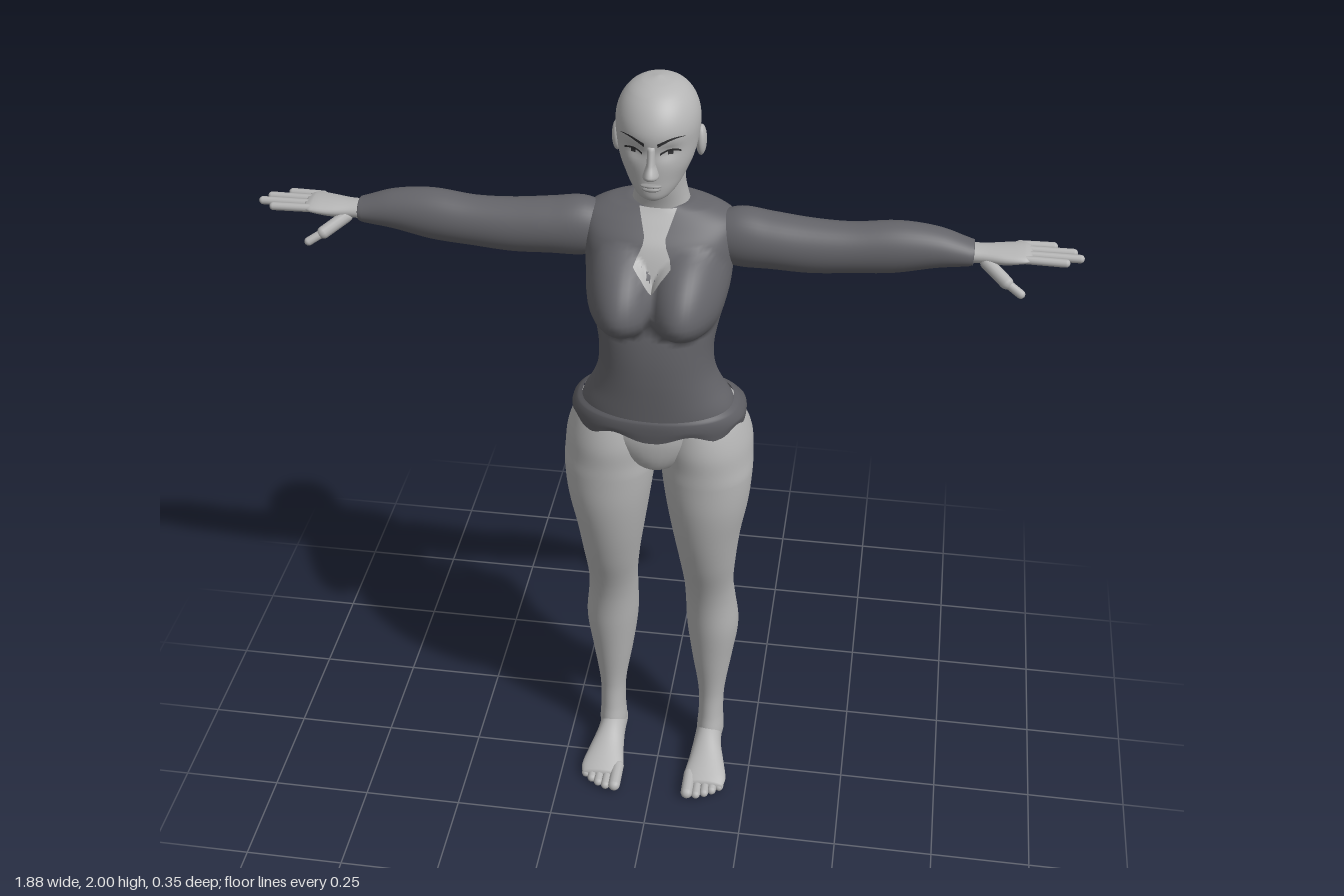
import * as THREE from 'three';

const mat = (name, color, side = THREE.FrontSide) => {
  const m = new THREE.MeshStandardMaterial({ color, side });
  m.name = name;
  return m;
};

// Smoothly interpolated cross-section at t; sections are [t, a, b, radiusA, radiusB]
function sectionAt(s, t) {
  let i = 0;
  while (i < s.length - 2 && t > s[i + 1][0]) i++;
  const h = s[i + 1][0] - s[i][0], u = (t - s[i][0]) / h;
  const slope = (j, k) => {
    const p = s[Math.max(j - 1, 0)], q = s[Math.min(j + 1, s.length - 1)];
    return (q[k] - p[k]) / (q[0] - p[0]);
  };
  return [1, 2, 3, 4].map((k) => {
    const v = s[i][k] * (2 * u ** 3 - 3 * u * u + 1) + s[i + 1][k] * (3 * u * u - 2 * u ** 3)
      + h * (slope(i, k) * (u ** 3 - 2 * u * u + u) + slope(i + 1, k) * (u ** 3 - u * u));
    return k > 2 ? Math.max(v, 0.001) : v;
  });
}

// Skin a closed body through cross-sections along an axis.
// Order of (a, t, b): y -> (x, y, z), x -> (z, x, y), z -> (y, z, x)
function loft(axis, s, { seg = 40, steps = 5, n = 2, cap = true, warp = null } = {}) {
  const pos = [], idx = [], rows = [];
  for (let i = 0; i < s.length - 1; i++)
    for (let k = 0; k < steps; k++) rows.push(s[i][0] + (s[i + 1][0] - s[i][0]) * k / steps);
  rows.push(s[s.length - 1][0]);
  const put = (a, t, b, th) => {
    const p = axis === 'y' ? [a, t, b] : axis === 'x' ? [t, b, a] : [b, a, t];
    if (warp) warp(p, th);
    pos.push(...p);
  };
  const pw = (v) => Math.sign(v) * Math.abs(v) ** (2 / n);
  rows.forEach((t) => {
    const [a, b, ra, rb] = sectionAt(s, t);
    for (let i = 0; i < seg; i++) {
      const th = i / seg * Math.PI * 2;
      put(a + ra * pw(Math.sin(th)), t, b + rb * pw(Math.cos(th)), th);
    }
  });
  for (let j = 0; j < rows.length - 1; j++)
    for (let i = 0; i < seg; i++) {
      const A = j * seg + i, B = j * seg + (i + 1) % seg;
      idx.push(A, B, B + seg, A, B + seg, A + seg);
    }
  if (cap) {
    const last = (rows.length - 1) * seg, c = pos.length / 3;
    [s[0], s[s.length - 1]].forEach((e) => put(e[1], e[0], e[2], Math.PI));
    for (let i = 0; i < seg; i++) {
      const k = (i + 1) % seg;
      idx.push(c, k, i, c + 1, last + i, last + k);
    }
  }
  return finish(pos, idx);
}

function finish(pos, idx) {
  const g = new THREE.BufferGeometry();
  g.setAttribute('position', new THREE.Float32BufferAttribute(pos, 3));
  g.setIndex(idx);
  g.computeVertexNormals();
  return g;
}

// Thin patch laid over a front surface; f(u, v) gives [x, y]
function patch(zAt, f, lift, nu = 12, nv = 8) {
  const pos = [], idx = [];
  for (let j = 0; j <= nv; j++)
    for (let i = 0; i <= nu; i++) {
      const [x, y] = f(i / nu, j / nv);
      pos.push(x, y, zAt(x, y) + lift);
      if (i < nu && j < nv) {
        const A = j * (nu + 1) + i, C = A + nu + 1;
        idx.push(A, A + 1, C + 1, A, C + 1, C);
      }
    }
  return finish(pos, idx);
}

const frontOf = (s, n = 2) => (x, y) => {
  const [a, b, ra, rb] = sectionAt(s, y);
  return b + rb * Math.max(0, 1 - Math.abs((x - a) / ra) ** n) ** (1 / n);
};

// Rounded rod between two points
function rod(p, q, r) {
  const a = new THREE.Vector3(...p), b = new THREE.Vector3(...q), d = b.clone().sub(a);
  const g = new THREE.CapsuleGeometry(r, d.length(), 5, 12);
  g.applyQuaternion(new THREE.Quaternion().setFromUnitVectors(new THREE.Vector3(0, 1, 0), d.normalize()));
  return g.translate(...a.add(b).multiplyScalar(0.5).toArray());
}

const ball = (x, y, z, rx, ry, rz) => new THREE.SphereGeometry(1, 20, 14).scale(rx, ry, rz).translate(x, y, z);

function mirror(g) {
  const m = g.clone().scale(-1, 1, 1), ix = m.index.array;
  for (let i = 0; i < ix.length; i += 3) [ix[i], ix[i + 1]] = [ix[i + 1], ix[i]];
  return m;
}

export function createModel() {
  const root = new THREE.Group();
  const skin = mat('skin', 0xb4b4b4), shirt = mat('shirt', 0x646469);
  const hemMat = mat('hem', 0x5e5e63, THREE.DoubleSide), chestSkin = mat('chestSkin', 0xb4b4b4, THREE.DoubleSide);
  const dark = mat('browAndLash', 0x303032, THREE.DoubleSide), lip = mat('lips', 0x989898);
  const add = (name, g, m) => {
    const mesh = new THREE.Mesh(g, m);
    mesh.name = name;
    root.add(mesh);
  };
  const pair = (name, g, m) => {
    add(name + 'Left', g, m);
    add(name + 'Right', mirror(g), m);
  };

  // Head and neck
  const head = [[1.753, 0, .06, .02, .025], [1.762, 0, .053, .036, .043], [1.78, 0, .036, .053, .064],
    [1.805, 0, .018, .068, .083], [1.835, 0, .008, .081, .094], [1.87, 0, -.005, .089, .106],
    [1.91, 0, -.009, .092, .112], [1.945, 0, -.011, .085, .101], [1.975, 0, -.013, .066, .077],
    [1.992, 0, -.014, .039, .045], [2, 0, -.014, .004, .004]];
  const socket = (x, y) => -.008 * Math.exp(-(((Math.abs(x) - .036) / .02) ** 2) - ((y - 1.873) / .016) ** 2);
  const headFront = frontOf(head), faceZ = (x, y) => headFront(x, y) + socket(x, y);
  add('head', loft('y', head, { seg: 64, warp: (p) => { if (p[2] > .02) p[2] += socket(p[0], p[1]); } }), skin);
  add('neck', loft('y', [[1.63, 0, -.06, .08, .055], [1.69, 0, -.056, .065, .056],
    [1.74, 0, -.046, .056, .059], [1.81, 0, -.035, .055, .062]]), skin);
  add('nose', loft('y', [[1.812, 0, .1, .008, .01], [1.82, 0, .103, .017, .024], [1.829, 0, .103, .016, .029],
    [1.85, 0, .098, .01, .021], [1.888, 0, .095, .009, .012]], { seg: 20 }), skin);
  pair('ear', ball(.092, 1.853, -.022, .012, .036, .021).rotateX(0), skin);
  add('upperLip', ball(0, 1.797, .099, .024, .005, .01), lip);
  add('lowerLip', ball(0, 1.788, .098, .02, .006, .01), lip);

  // Brows, lashes and eyes
  pair('brow', patch(faceZ, (u, v) => [.014 + .056 * u,
    1.893 + .014 * Math.sin(u * 2.2) + (v - .5) * .008 * (1.1 - u)], .003), dark);
  pair('lash', patch(faceZ, (u, v) => [.019 + .042 * u,
    1.871 + .008 * Math.sin(u * 2.8) + (v - .5) * .005], .004), dark);
  pair('iris', patch(faceZ, (u, v) => [.04 + (u - .5) * .011, 1.868 + v * .01], .003), dark);

  // Shirt body with a shaped bust
  const torso = [[1.165, 0, -.008, .185, .12], [1.2, 0, 0, .177, .115], [1.25, 0, .012, .152, .107],
    [1.3, 0, .02, .136, .102], [1.36, 0, .021, .133, .101], [1.42, 0, .012, .143, .104],
    [1.5, 0, -.009, .163, .109], [1.57, 0, -.03, .17, .109], [1.62, 0, -.043, .175, .099],
    [1.655, 0, -.056, .17, .082], [1.68, 0, -.061, .125, .064], [1.692, 0, -.062, .07, .056]];
  const bust = (x, y) => {
    const d = ((Math.abs(x) - .08) / .088) ** 2 + ((y - 1.49) / (y > 1.49 ? .125 : .075)) ** 2;
    return .085 * Math.max(0, 1 - d) ** .85;
  };
  const torsoFront = frontOf(torso, 2.2);
  add('shirtBody', loft('y', torso, {
    seg: 80, n: 2.2, warp: (p, th) => { if (Math.cos(th) > 0) p[2] += bust(p[0], p[1]) * Math.min(1, Math.cos(th) * 3); },
  }), shirt);

  // Notched neckline showing the chest
  const notch = [[1.69, .042], [1.64, .024], [1.625, .026], [1.59, .042], [1.565, .022], [1.53, .001]];
  const notchWidth = (y) => {
    const i = Math.max(1, notch.findIndex((p) => y >= p[0] - 1e-6)), [p, q] = [notch[i - 1], notch[i]];
    return p[1] + (q[1] - p[1]) * (p[0] - y) / (p[0] - q[0]);
  };
  add('chestOpening', patch((x, y) => torsoFront(x, y) + bust(x, y), (u, v) => {
    const y = 1.53 + .16 * v;
    return [(u - .5) * 2 * notchWidth(y), y];
  }, .005, 12, 32), chestSkin);

  // Scalloped hem
  add('hem', loft('y', [[1.138, 0, -.027, .206, .14], [1.16, 0, -.025, .208, .142],
    [1.183, 0, -.012, .194, .129], [1.194, 0, -.006, .18, .118]], {
    seg: 96, n: 2.3, cap: false,
    warp: (p, th) => { p[1] -= .01 * Math.cos(8 * th) * Math.max(0, Math.min(1, (1.165 - p[1]) / .027)); },
  }), hemMat);

  // Sleeves
  pair('sleeve', loft('x', [[.12, -.05, 1.605, .05, .055], [.18, -.05, 1.607, .061, .07],
    [.25, -.049, 1.603, .062, .066], [.34, -.048, 1.597, .058, .063], [.43, -.049, 1.599, .054, .059],
    [.53, -.053, 1.607, .054, .06], [.62, -.056, 1.611, .047, .046], [.69, -.057, 1.604, .037, .03],
    [.7, -.057, 1.604, .034, .027]]), shirt);

  // Hands
  pair('palm', loft('x', [[.68, -.057, 1.604, .029, .021], [.72, -.057, 1.604, .031, .02],
    [.77, -.06, 1.605, .041, .019], [.81, -.064, 1.608, .045, .014], [.828, -.065, 1.608, .038, .007]], { seg: 28 }), skin);
  [[-.033, .9], [-.055, .932], [-.078, .918], [-.1, .875]].forEach(([z, tip], i) =>
    pair('finger' + (i + 1), rod([.8, 1.608, z], [tip, 1.607, z * 1.08 + .004], .0095), skin));
  pair('thumbBase', rod([.73, 1.592, -.035], [.775, 1.567, .002], .015), skin);
  pair('thumbTip', rod([.775, 1.567, .002], [.808, 1.549, .017], .01), skin);

  // Pelvis and legs
  add('pelvis', loft('y', [[1, 0, -.01, .02, .05], [1.03, 0, -.013, .075, .09],
    [1.1, 0, -.015, .16, .108], [1.17, 0, -.015, .175, .1]]), skin);
  pair('leg', loft('y', [[.02, .134, -.085, .03, .04], [.06, .134, -.08, .036, .052],
    [.12, .134, -.083, .033, .044], [.2, .134, -.086, .035, .042], [.32, .133, -.092, .053, .062],
    [.43, .133, -.092, .067, .077], [.53, .127, -.077, .064, .073], [.6, .124, -.056, .063, .069],
    [.7, .122, -.031, .072, .08], [.8, .12, -.016, .085, .093], [.9, .121, -.008, .101, .103],
    [.99, .119, -.012, .111, .111], [1.03, .117, -.027, .112, .126], [1.08, .113, -.035, .111, .134],
    [1.13, .108, -.028, .1, .117], [1.17, .1, -.02, .09, .095]], { seg: 48 }), skin);

  // Feet and toes
  pair('foot', loft('z', [[-.135, .035, .132, .016, .014], [-.125, .037, .132, .03, .026],
    [-.1, .042, .132, .042, .034], [-.06, .046, .132, .046, .035], [-.02, .043, .133, .043, .038],
    [.03, .032, .137, .032, .047], [.08, .021, .139, .021, .056], [.11, .015, .139, .014, .05]], { seg: 32 }), skin);
  [[.098, .14, .016], [.122, .139, .012], [.143, .13, .012], [.162, .118, .012], [.18, .102, .012]].forEach(([x, z, r], i) =>
    pair('toe' + (i + 1), rod([x, r + .006, .075], [x, r, z], r), skin));

  return root;
}
